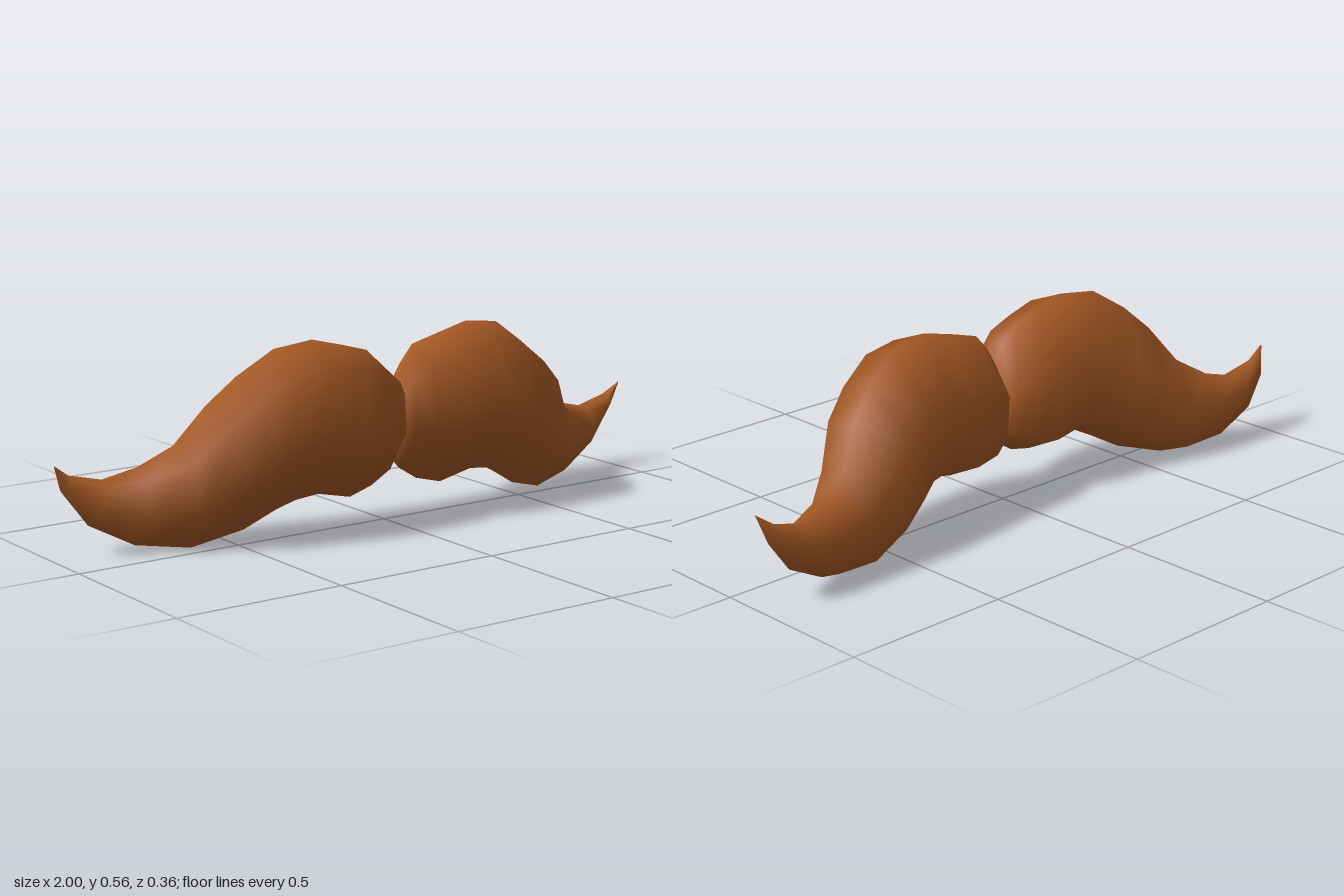
import * as THREE from 'three';

// Stations along one half: top x, top y, bottom x, bottom y, front z, back z
const STATIONS = [
  [0.0, 0.41, 0.0, 0.19, 0.11, -0.03],
  [0.03, 0.46, 0.015, 0.16, 0.13, -0.045],
  [0.08, 0.51, 0.08, 0.12, 0.147, -0.075],
  [0.17, 0.535, 0.16, 0.1, 0.168, -0.082],
  [0.27, 0.56, 0.27, 0.125, 0.177, -0.088],
  [0.39, 0.545, 0.34, 0.115, 0.167, -0.1],
  [0.5, 0.475, 0.39, 0.09, 0.145, -0.125],
  [0.58, 0.4, 0.48, 0.04, 0.115, -0.152],
  [0.66, 0.29, 0.62, 0.0, 0.04, -0.17],
  [0.75, 0.235, 0.77, 0.02, -0.04, -0.178],
  [0.85, 0.21, 0.9, 0.09, -0.088, -0.176],
  [0.95, 0.235, 0.97, 0.185, -0.112, -0.158],
  [1.0, 0.27, 1.0, 0.268, -0.12, -0.125],
];

// Six-sided cross-section as (depth, height), each from -1 to 1
const SECTION = [[1, -0.2], [0.87, 0.77], [-0.1, 1], [-1, 0.2], [-0.9, -0.72], [0.1, -1]];
const SIDES = SECTION.length;

function halfGeometry(side) {
  const positions = [], index = [];
  for (const [xt, yt, xb, yb, zf, zb] of STATIONS) {
    for (const [w, h] of SECTION) {
      const t = (h + 1) / 2;
      positions.push(side * (xb + (xt - xb) * t), yb + (yt - yb) * t,
        (zf + zb) / 2 + (w * (zf - zb)) / 2);
    }
  }
  // The mirrored half needs its corners in reverse order
  const tri = (a, b, c) => (side > 0 ? index.push(a, b, c) : index.push(a, c, b));
  for (let i = 0; i < STATIONS.length - 1; i++) {
    for (let j = 0; j < SIDES; j++) {
      const a = i * SIDES + j, b = i * SIDES + ((j + 1) % SIDES);
      tri(a, a + SIDES, b);
      tri(b, a + SIDES, b + SIDES);
    }
  }
  // Close the pointed tip
  const last = (STATIONS.length - 1) * SIDES;
  for (let j = 1; j < SIDES - 1; j++) tri(last, last + j + 1, last + j);

  const geometry = new THREE.BufferGeometry();
  geometry.setAttribute('position', new THREE.Float32BufferAttribute(positions, 3));
  geometry.setIndex(index);
  geometry.computeVertexNormals();
  return geometry;
}

export function createModel() {
  const group = new THREE.Group();
  group.name = 'moustache';
  const brown = new THREE.MeshStandardMaterial({ color: 0xa85a25 });
  brown.name = 'chestnut brown';

  // Two mirrored halves meeting at a pinched centre
  for (const [name, side] of [['leftHalf', 1], ['rightHalf', -1]]) {
    const half = new THREE.Mesh(halfGeometry(side), brown);
    half.name = name;
    group.add(half);
  }
  return group;
}
